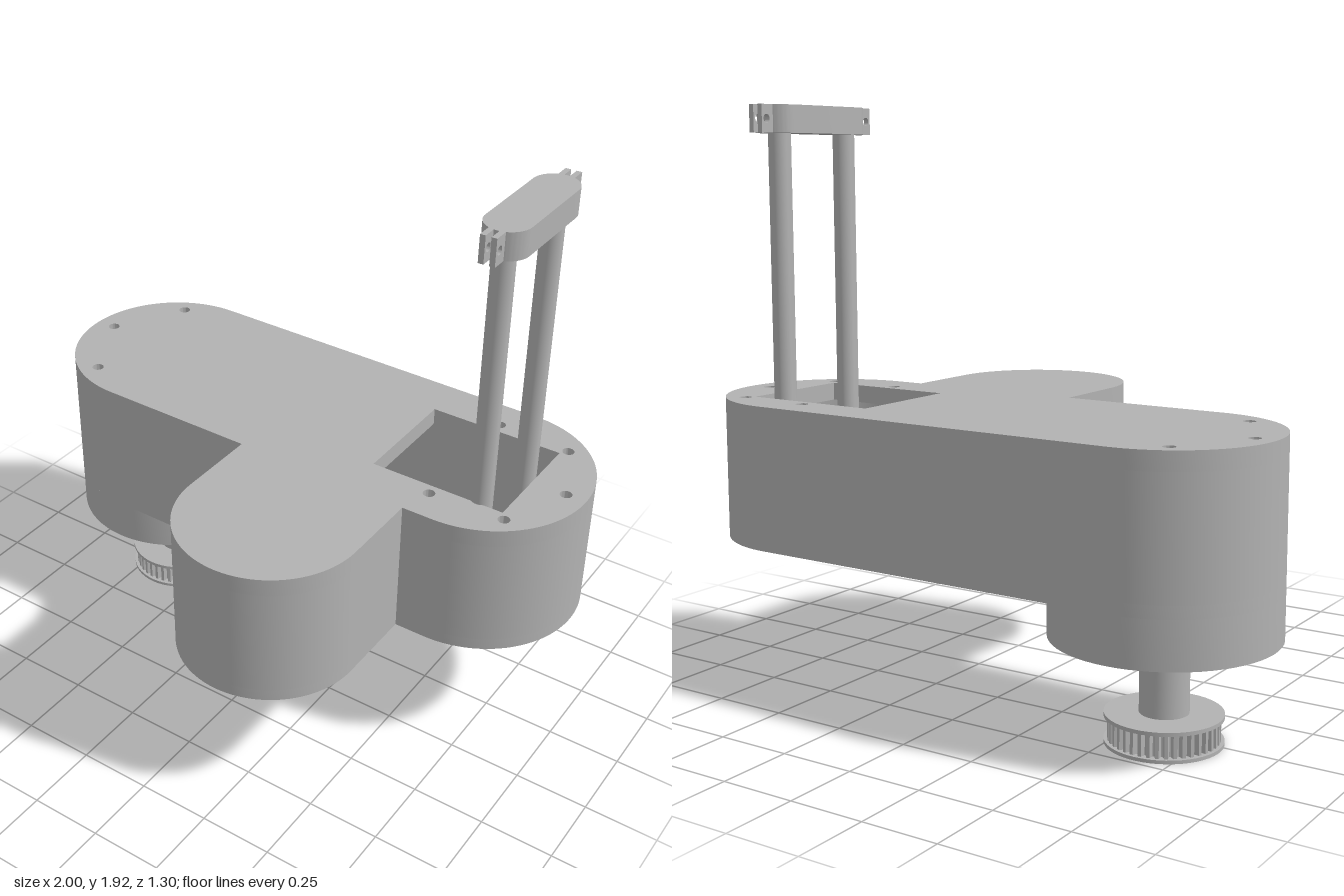
import * as THREE from 'three';
import { toCreasedNormals } from 'three/addons/utils/BufferGeometryUtils.js';

const grey = new THREE.MeshStandardMaterial({ color: 0xb2b2b2 });
grey.name = 'plain grey';

function add(parent, name, geometry, x = 0, y = 0, z = 0) {
  const mesh = new THREE.Mesh(toCreasedNormals(geometry, 0.5), grey);
  mesh.name = name;
  mesh.position.set(x, y, z);
  parent.add(mesh);
  return mesh;
}

// Plan-view shape (x, -z) raised to a vertical slab
function slab(shape, height) {
  return new THREE.ExtrudeGeometry(shape, { depth: height, bevelEnabled: false, curveSegments: 24 })
    .rotateX(-Math.PI / 2);
}

function cylinder(r, h, sides = 32) {
  return new THREE.CylinderGeometry(r, r, h, sides);
}

function lathe(points) {
  return new THREE.LatheGeometry(points.map(([r, y]) => new THREE.Vector2(r, y)), 64);
}

function circleHole(x, y, r) {
  const path = new THREE.Path();
  path.absarc(x, y, r, 0, Math.PI * 2, true);
  return path;
}

function rectHole(x0, y0, x1, y1) {
  return new THREE.Path([[x0, y0], [x0, y1], [x1, y1], [x1, y0]].map(([x, y]) => new THREE.Vector2(x, y)));
}

// Housing outline: a long stadium with a round lobe at the front, inset by t
function outline(t = 0) {
  const s = new THREE.Shape();
  const P = Math.PI;
  s.moveTo(-0.645, -0.055 + t);
  s.lineTo(-0.08 + t, -0.06 + t);
  s.lineTo(-0.08 + t, -0.34);
  s.absarc(0.23, -0.34, 0.31 - t, P, 2 * P, false);
  s.lineTo(0.54 - t, -0.065 + t);
  s.lineTo(0.645, -0.065 + t);
  s.absarc(0.645, 0.29, 0.355 - t, -P / 2, P / 2, false);
  s.lineTo(-0.645, 0.655 - t);
  s.absarc(-0.645, 0.3, 0.355 - t, P / 2, 1.5 * P, false);
  return s;
}

function buildHousing() {
  const g = new THREE.Group();
  g.name = 'housing';

  const floor = outline();
  floor.holes.push(rectHole(0.34, 0.14, 0.66, 0.45));
  for (const [x, z] of [[0.47, -0.02], [0.02, -0.04]]) floor.holes.push(circleHole(x, -z, 0.015));
  add(g, 'floorPlate', slab(floor, 0.04), 0, 0.485);

  const wall = outline();
  wall.holes.push(outline(0.03));
  add(g, 'sideWall', slab(wall, 0.375), 0, 0.525);

  const lid = outline();
  lid.holes.push(rectHole(0.34, 0.09, 0.81, 0.49));
  const screwHoles = [[-0.93, -0.31], [-0.79, -0.56], [-0.79, -0.05], [0.57, -0.53],
    [0.57, -0.05], [0.83, -0.515], [0.83, -0.06], [0.93, -0.29]];
  for (const [x, z] of screwHoles) lid.holes.push(circleHole(x, -z, 0.02));
  add(g, 'lidPlate', slab(lid, 0.06), 0, 0.9);

  // Inner drive wheel and bracket seen through the window
  add(g, 'innerWheel', cylinder(0.07, 0.045).rotateZ(Math.PI / 2), 0.363, 0.7, -0.27);
  add(g, 'innerAxle', cylinder(0.03, 0.3).rotateZ(Math.PI / 2), 0.2, 0.7, -0.27);
  add(g, 'innerBracket', new THREE.BoxGeometry(0.025, 0.375, 0.07), 0.35, 0.7125, -0.125);
  return g;
}

function buildOutput() {
  const g = new THREE.Group();
  g.name = 'outputDrive';
  g.position.set(-0.645, 0, -0.3);

  // Boss with recessed underside, raised collar and bearing seat
  add(g, 'boss', lathe([[0, 0.4], [0.11, 0.4], [0.11, 0.35], [0.15, 0.35], [0.15, 0.32], [0.195, 0.32],
    [0.195, 0.37], [0.33, 0.37], [0.33, 0.335], [0.355, 0.335], [0.355, 0.485]]));
  for (let i = 0; i < 4; i++) {
    const a = Math.PI / 4 + i * Math.PI / 2;
    add(g, 'bossScrew', cylinder(0.02, 0.01, 16), 0.265 * Math.cos(a), 0.366, 0.265 * Math.sin(a));
  }
  add(g, 'shaft', cylinder(0.077, 0.33), 0, 0.245);

  // Toothed pulley between two flanges
  const teeth = new THREE.Shape();
  const count = 40;
  for (let i = 0; i < count; i++) {
    [[0, 0.155], [0.2, 0.172], [0.6, 0.172], [0.8, 0.155]].forEach(([f, r], k) => {
      const a = (i + f) / count * Math.PI * 2;
      teeth[i + k ? 'lineTo' : 'moveTo'](r * Math.cos(a), r * Math.sin(a));
    });
  }
  add(g, 'pulleyTeeth', slab(teeth, 0.073), 0, 0.011);
  add(g, 'upperFlange', cylinder(0.183, 0.012, 48), 0, 0.089);
  const flange = new THREE.Shape();
  flange.absarc(0, 0, 0.183, 0, Math.PI * 2, false);
  flange.holes.push(circleHole(0, 0, 0.022));
  for (let i = 0; i < 4; i++) {
    const a = i * Math.PI / 2;
    flange.holes.push(circleHole(0.055 * Math.cos(a), 0.055 * Math.sin(a), 0.014));
  }
  add(g, 'lowerFlange', slab(flange, 0.011));
  return g;
}

function buildMast() {
  const g = new THREE.Group();
  g.name = 'mast';
  g.position.set(0.72, 0, -0.28);

  // Clamp bar with rounded ends
  const bar = new THREE.Shape();
  bar.absarc(0, 0.15, 0.074, 0, Math.PI, false);
  bar.absarc(0, -0.15, 0.074, Math.PI, 2 * Math.PI, false);
  add(g, 'clampBar', slab(bar, 0.09), 0, 1.827);

  // Clamp ear in the yz plane, with a bolt hole
  const ear = new THREE.Shape([[-0.05, 0], [0.05, 0], [0.05, 0.09], [-0.05, 0.09]]
    .map(([x, y]) => new THREE.Vector2(x, y)));
  for (const side of [1, -1]) {
    add(g, 'rod', cylinder(0.037, 1.33), 0, 1.165, 0.16 * side);
    for (const half of [1, -1]) {
      const shape = ear.clone();
      shape.holes = [circleHole(-0.028 * side, 0.045, 0.014)];
      const plate = new THREE.ExtrudeGeometry(shape, { depth: 0.018, bevelEnabled: false })
        .translate(0, 0, -0.009).rotateY(Math.PI / 2);
      add(g, 'clampEar', plate, 0.018 * half, 1.827, 0.22 * side);
    }
  }
  return g;
}

export function createModel() {
  const model = new THREE.Group();
  model.name = 'armSegment';
  model.add(buildHousing(), buildOutput(), buildMast());
  return model;
}
